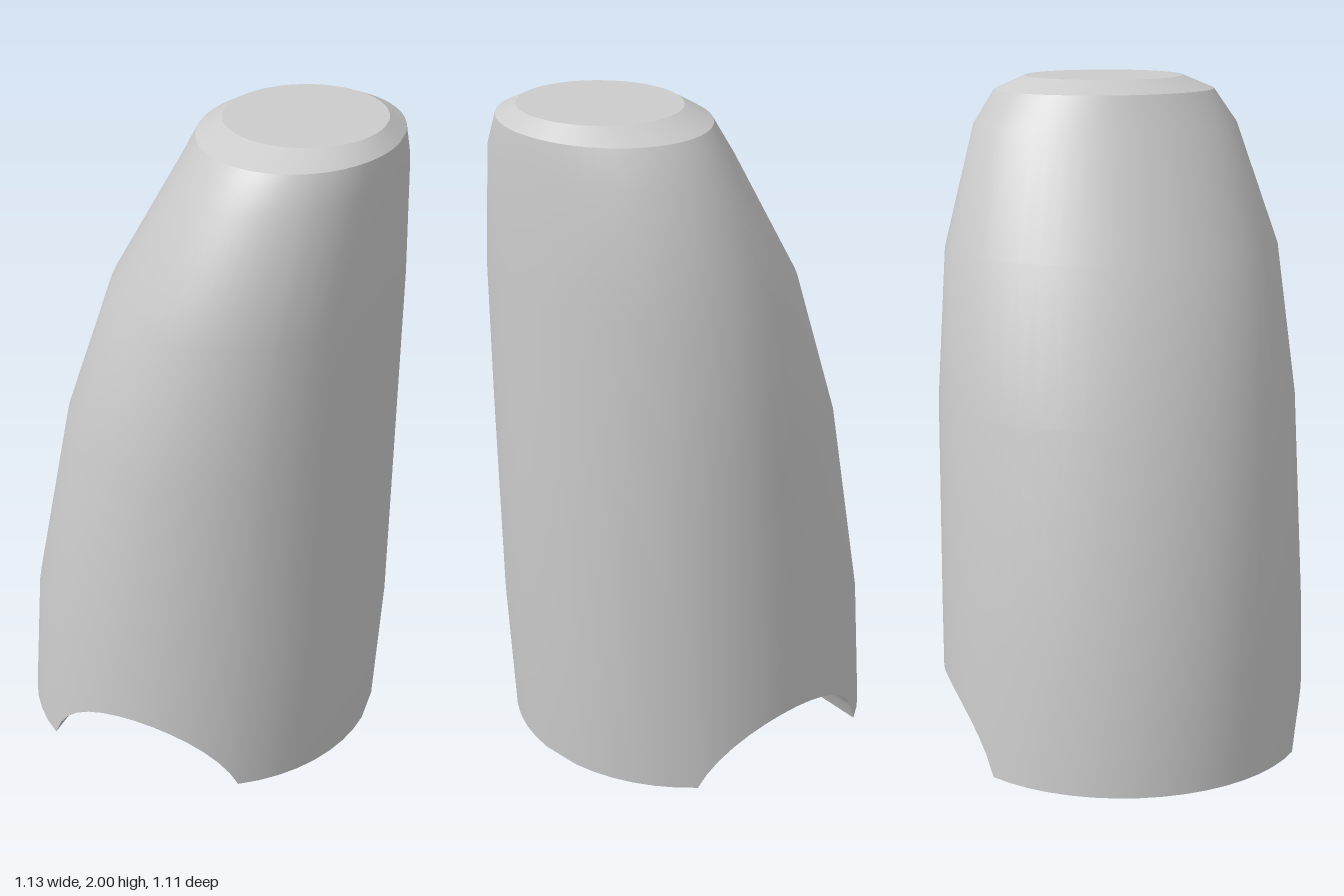
import * as THREE from 'three';
import { toCreasedNormals } from 'three/addons/utils/BufferGeometryUtils.js';

// Elliptical cross-sections: height, left x, right x, half depth
const RINGS = [
  [0, -0.567, 0.527, 0.558],
  [0.42, -0.538, 0.553, 0.556],
  [1.05, -0.41, 0.558, 0.547],
  [1.5, -0.257, 0.563, 0.51],
  [1.86, -0.06, 0.563, 0.405],
  [1.96, -0.01, 0.555, 0.338],
  [2, 0.057, 0.512, 0.243],
];

// Circular channel cut along z through the base
const CHANNEL = { x: -0.02, y: -0.112, r: 0.332 };
const HALF_WIDTH = Math.sqrt(CHANNEL.r ** 2 - CHANNEL.y ** 2);

function ringPoint([y, left, right, depth], angle) {
  return new THREE.Vector3(
    (left + right) / 2 + (right - left) / 2 * Math.cos(angle), y, depth * Math.sin(angle));
}

// Point on the lower rim, raised where the channel crosses it
function rimPoint(angle) {
  const [lo, hi] = RINGS;
  let y = 0, p;
  for (let k = 0; k < 8; k++) {
    const t = y / hi[0];
    p = ringPoint(lo.map((v, i) => v + (hi[i] - v) * t), angle);
    const d = CHANNEL.r ** 2 - (p.x - CHANNEL.x) ** 2;
    y = d > 0 ? Math.max(0, Math.sqrt(d) + CHANNEL.y) : 0;
    if (y < 1e-4) y = 0;
  }
  p.y = y;
  return p;
}

// Angles round the front half, matched to the channel's corners and arc
function frontAngles() {
  const radius = (RINGS[0][2] - RINGS[0][1]) / 2;
  const corner = Math.acos(HALF_WIDTH / radius);
  const start = Math.asin(-CHANNEL.y / CHANNEL.r);
  const list = [];
  for (let i = 0; i < 8; i++) list.push(corner * i / 8);
  for (let i = 0; i <= 14; i++) {
    const phi = start + (Math.PI - 2 * start) * i / 14;
    list.push(Math.acos(CHANNEL.r * Math.cos(phi) / radius));
  }
  for (let i = 1; i <= 8; i++) list.push(Math.PI - corner * (8 - i) / 8);
  return list;
}

function makeMesh(name, triangles) {
  const geometry = new THREE.BufferGeometry().setFromPoints(triangles);
  const mesh = new THREE.Mesh(
    toCreasedNormals(geometry, 0.38),
    new THREE.MeshStandardMaterial({ color: 0xcccccc }));
  mesh.name = name;
  return mesh;
}

export function createModel() {
  const group = new THREE.Group();
  group.name = 'slantedTaperedBody';
  const front = frontAngles();
  const n = front.length;
  const around = [...front, ...front.slice(1).reverse().map((a) => 2 * Math.PI - a)];
  around[around.length - 1] = 0;
  around[around.length - 1] = 2 * Math.PI;
  if (around[n] === around[n - 1]) around.splice(n, 1);
  if (around[around.length - 1] !== 2 * Math.PI) around.push(2 * Math.PI);

  // Leaning outer wall with its bevelled shoulder
  const wall = [];
  const rows = [rimPoint, ...RINGS.slice(1).map((ring) => (a) => ringPoint(ring, a))];
  for (let r = 0; r < rows.length - 1; r++) {
    for (let i = 0; i < around.length - 1; i++) {
      const a = rows[r](around[i]), b = rows[r](around[i + 1]);
      const c = rows[r + 1](around[i]), d = rows[r + 1](around[i + 1]);
      wall.push(a, c, b, b, c, d);
    }
  }
  group.add(makeMesh('outerWall', wall));

  // Flat top
  const top = RINGS[RINGS.length - 1];
  const centre = new THREE.Vector3((top[1] + top[2]) / 2, top[0], 0);
  const cap = [];
  for (let i = 0; i < around.length - 1; i++) {
    cap.push(centre, ringPoint(top, around[i + 1]), ringPoint(top, around[i]));
  }
  group.add(makeMesh('topCap', cap));

  // Two flat feet and the channel between them, as strips from front to back
  const underside = [];
  for (let i = 0; i < n - 1; i++) {
    const f0 = rimPoint(front[i]), f1 = rimPoint(front[i + 1]);
    const b0 = rimPoint(-front[i]), b1 = rimPoint(-front[i + 1]);
    if (i > 0) underside.push(f0, f1, b0);
    if (i < n - 2) underside.push(f1, b1, b0);
    else continue;
  }
  group.add(makeMesh('channelledUnderside', underside));
  return group;
}
